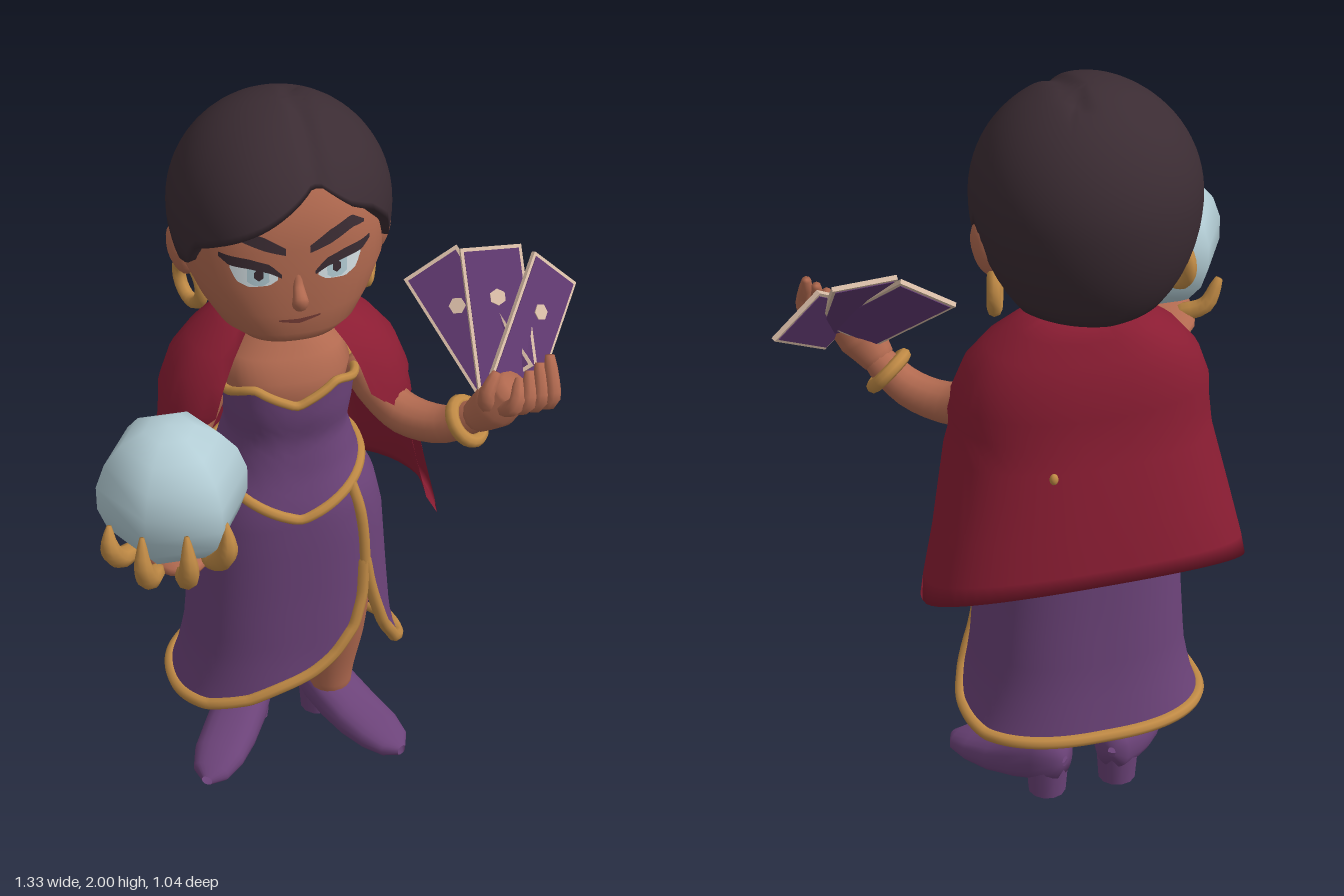
import * as THREE from 'three';
import { mergeVertices } from 'three/addons/utils/BufferGeometryUtils.js';

const mat = (name, color) => Object.assign(new THREE.MeshStandardMaterial({ color, side: THREE.DoubleSide }), { name });
const M = {
  skin: mat('skin', 0xb26a50), hair: mat('darkHair', 0x3b2c33), dress: mat('purpleDress', 0x6c4379),
  cape: mat('crimsonCape', 0x8b1d33), gold: mat('gold', 0xc08a45), glass: mat('paleGlass', 0xb4ced6),
  white: mat('eyeWhite', 0xdbe6ea), cream: mat('cream', 0xd8bca6), lip: mat('lip', 0x7a3f38), card: mat('cardPurple', 0x5f386f),
};
const CX = -0.09; // the figure's own centre line
const V = (x, y, z) => new THREE.Vector3(x, y, z);
const rad = THREE.MathUtils.degToRad;
const pow = (v, p) => Math.sign(v) * Math.abs(v) ** p;

// Linear interpolation in rows [key, ...values] sorted by key
function look(rows, k) {
  let i = 0;
  while (i < rows.length - 2 && k > rows[i + 1][0]) i++;
  const a = rows[i], b = rows[i + 1], t = THREE.MathUtils.clamp((k - a[0]) / (b[0] - a[0]), 0, 1);
  return a.slice(1).map((v, j) => v + (b[j + 1] - v) * t);
}

// Smooth grid surface from f(u, v) -> Vector3
function surface(nu, nv, f) {
  const pos = [], idx = [];
  for (let j = 0; j <= nv; j++) for (let i = 0; i <= nu; i++) pos.push(...f(i / nu, j / nv).toArray());
  for (let j = 0; j < nv; j++) for (let i = 0; i < nu; i++) {
    const a = j * (nu + 1) + i, c = a + nu + 1;
    idx.push(a, a + 1, c, a + 1, c + 1, c);
  }
  let g = new THREE.BufferGeometry();
  g.setAttribute('position', new THREE.Float32BufferAttribute(pos, 3));
  g.setIndex(idx);
  g = mergeVertices(g, 1e-5);
  g.computeVertexNormals();
  return g;
}

// Rounded-rectangle-like section point; rows are [y, rx, rz, cz], angle 0 faces front
function at(rows, y, th, grow = 0) {
  const [rx, rz, cz] = look(rows, y);
  return V(CX + (rx + grow) * pow(Math.sin(th), 0.84), y, cz + (rz + grow) * pow(Math.cos(th), 0.84));
}
const loft = (rows, nu = 40) => surface(nu, rows.length - 1,
  (u, v) => at(rows, rows[Math.round(v * (rows.length - 1))][0], u * Math.PI * 2));

// Tapered limb along points [x, y, z, radius] with rounded ends
function limb(pts, nu = 12, nv = 16) {
  const curve = new THREE.CatmullRomCurve3(pts.map(p => V(p[0], p[1], p[2])));
  const fr = curve.computeFrenetFrames(nv), n = pts.length - 1, radii = pts.map((p, i) => [i / n, p[3]]);
  return surface(nu, nv + 2, (u, w) => {
    const k = Math.round(w * (nv + 2)), j = THREE.MathUtils.clamp(k - 1, 0, nv), t = j / nv;
    let r = look(radii, t)[0], a = u * Math.PI * 2, push = 0;
    if (j === 0 || j === nv) { push = r * 0.25 * (j ? 1 : -1); r *= k === j + 1 ? 0.75 : 0; }
    return curve.getPoint(t).addScaledVector(fr.normals[j], Math.cos(a) * r)
      .addScaledVector(fr.binormals[j], Math.sin(a) * r).addScaledVector(fr.tangents[j], push);
  });
}
const tube = (pts, r, closed = false) => new THREE.TubeGeometry(new THREE.CatmullRomCurve3(pts, closed), pts.length * 2, r, 8, closed);

const torso = [[0.25, 0.325, 0.235, -0.215], [0.32, 0.3, 0.225, -0.215], [0.42, 0.28, 0.213, -0.215], [0.6, 0.267, 0.205, -0.215], [0.8, 0.254, 0.2, -0.215],
  [0.9, 0.232, 0.19, -0.21], [1.0, 0.18, 0.155, -0.205], [1.1, 0.152, 0.135, -0.2], [1.18, 0.165, 0.15, -0.2], [1.28, 0.178, 0.155, -0.205]];
const chest = [[1.1, 0.12, 0.1, -0.21], [1.2, 0.152, 0.135, -0.21], [1.27, 0.168, 0.135, -0.215], [1.32, 0.15, 0.108, -0.225],
  [1.36, 0.1, 0.085, -0.235], [1.39, 0.075, 0.07, -0.235], [1.52, 0.07, 0.07, -0.23]];
const head = [[1.412, 0.001, 0.001, -0.13], [1.416, 0.07, 0.06, -0.13], [1.43, 0.125, 0.105, -0.145], [1.46, 0.175, 0.16, -0.185], [1.52, 0.215, 0.19, -0.21],
  [1.6, 0.25, 0.205, -0.225], [1.7, 0.255, 0.21, -0.235], [1.8, 0.23, 0.2, -0.24], [1.9, 0.16, 0.14, -0.25], [1.95, 0.001, 0.001, -0.25]];
// Skirt hem height by angle: a slit peaks at 39 degrees
const hem = [[-321, 0.7], [-318, 0.63], [-312, 0.53], [-304, 0.44], [-288, 0.34], [-270, 0.285], [-240, 0.262], [-180, 0.265],
  [-90, 0.25], [-50, 0.265], [-25, 0.3], [-2, 0.355], [14, 0.42], [28, 0.5], [36, 0.6], [39, 0.7]];
// Hairline height by angle
const hairline = [[-180, 1.45], [-115, 1.47], [-100, 1.6], [-92, 1.69], [-80, 1.62], [-68, 1.64], [-60, 1.71], [-45, 1.75], [-20, 1.81], [8, 1.885],
  [14, 1.885], [30, 1.82], [45, 1.78], [60, 1.71], [68, 1.64], [80, 1.62], [92, 1.69], [100, 1.6], [115, 1.47], [180, 1.45]];
// Cape rows [y, rx, rz, cz, half opening angle, rise at the back]
const capeRows = [[0.66, 0.425, 0.215, -0.28, 97, 0.1], [0.72, 0.415, 0.215, -0.275, 97, 0.08], [0.85, 0.385, 0.215, -0.262, 98, 0.05], [1.05, 0.34, 0.225, -0.225, 102, 0.02],
  [1.14, 0.33, 0.21, -0.225, 126, 0], [1.2, 0.325, 0.2, -0.235, 143, 0], [1.28, 0.295, 0.185, -0.243, 145, 0],
  [1.34, 0.245, 0.16, -0.25, 145, 0], [1.39, 0.18, 0.13, -0.262, 144, 0], [1.44, 0.1, 0.09, -0.28, 140, 0]];

// Thin patch on the face; pts are [x, yLow, yHigh] from the centre line, s mirrors
function facePatch(pts, lift, s = 1) {
  const x0 = pts[0][0], x1 = pts[pts.length - 1][0];
  return surface(14, 4, (u, v) => {
    const x = THREE.MathUtils.lerp(x0, x1, s > 0 ? u : 1 - u), [lo, hi] = look(pts, x), y = lo + (hi - lo) * v;
    const [rx, rz, cz] = look(head, y), n = 2 / 0.84;
    return V(CX + s * x, y, cz + rz * (1 - Math.min(1, Math.abs(x) / rx) ** n) ** (1 / n) + lift);
  });
}

export function createModel() {
  const root = new THREE.Group();
  const add = (name, geo, m, parent = root) => {
    const mesh = new THREE.Mesh(geo, m);
    mesh.name = name;
    parent.add(mesh);
    return mesh;
  };
  const ball = (name, m, p, r) => {
    const b = add(name, new THREE.SphereGeometry(1, 16, 12), m);
    b.position.set(...p); b.scale.set(...r);
    return b;
  };

  // Dress
  add('skirt', surface(120, 14, (u, v) => {
    const d = 39 - 360 * u;
    return at(torso, THREE.MathUtils.lerp(0.99, look(hem, d)[0], v), rad(d));
  }), M.dress);
  const neckline = d => look([[0, 1.225], [32, 1.278], [60, 1.25], [90, 1.235], [180, 1.25]], Math.abs(d))[0];
  const belt = d => Math.cos(rad(d)) > 0 ? 0.885 + 0.1 * Math.abs(Math.sin(rad(d))) : 0.985;
  add('bodice', surface(48, 12, (u, v) => {
    const d = -180 + 360 * u;
    return at(torso, THREE.MathUtils.lerp(belt(d), neckline(d), v), rad(d), 0.005);
  }), M.dress);
  const ring = (n, f) => Array.from({ length: n }, (_, i) => f(-180 + 360 * i / n));
  add('necklineTrim', tube(ring(48, d => at(torso, neckline(d), rad(d), 0.005)), 0.012, true), M.gold);
  add('beltTrim', tube(ring(48, d => at(torso, belt(d), rad(d), 0.003)), 0.015, true), M.gold);
  add('hemTrim', tube(ring(90, d => at(torso, look(hem, d - 141)[0], rad(d - 141))), 0.017, true), M.gold);
  add('slitTrim', tube([0.95, 0.87, 0.78, 0.69].map(y => at(torso, y, rad(39), 0.002)), 0.016), M.gold);

  // Cape: outer and inner skin joined at every edge
  const nc = capeRows.length - 1;
  add('cape', surface(64, nc, (u, v) => {
    const j = Math.round(v * nc), [y, rx, rz, cz, a, rise] = capeRows[j];
    const inner = u > 0.5, t = inner && j > 0 && j < nc ? 0.022 : 0;
    const th = rad(a) * (inner ? 4 * u - 3 : 1 - 4 * u);
    return V(CX + 0.005 + (rx - t) * pow(Math.sin(th), 0.85), y + rise * Math.max(0, Math.cos(th)), cz - (rz - t) * pow(Math.cos(th), 0.85));
  }), M.cape);
  ball('capeStud', M.gold, [0.05, 1.06, -0.442], [0.011, 0.015, 0.01]);

  // Body and head
  add('chestAndNeck', loft(chest), M.skin);
  add('head', loft(head, 48), M.skin);
  add('nose', limb([[CX, 1.64, -0.035, 0.01], [CX, 1.605, -0.022, 0.013], [CX, 1.57, 0.003, 0.021], [CX, 1.553, -0.015, 0.018]]), M.skin);
  add('mouth', facePatch([[-0.05, 1.505, 1.51], [0, 1.495, 1.509], [0.055, 1.511, 1.516]], 0.004), M.lip);
  for (const s of [1, -1]) {
    const side = s > 0 ? 'left' : 'right';
    add(side + 'EyeWhite', facePatch([[0.05, 1.628, 1.637], [0.07, 1.614, 1.66], [0.12, 1.609, 1.676], [0.15, 1.625, 1.68], [0.163, 1.66, 1.68]], 0.004, s), M.white);
    add(side + 'Iris', facePatch([[0.072, 1.625, 1.655], [0.085, 1.615, 1.662], [0.11, 1.615, 1.67], [0.124, 1.625, 1.665]], 0.006, s), M.glass);
    add(side + 'Pupil', facePatch([[0.086, 1.637, 1.652], [0.097, 1.628, 1.662], [0.108, 1.637, 1.652]], 0.008, s), M.hair);
    add(side + 'Lashes', facePatch([[0.042, 1.634, 1.645], [0.07, 1.65, 1.674], [0.12, 1.663, 1.69], [0.165, 1.668, 1.695], [0.188, 1.688, 1.7]], 0.009, s), M.hair);
    add(side + 'Eyebrow', facePatch([[0.03, 1.695, 1.714], [0.08, 1.71, 1.745], [0.14, 1.735, 1.768], [0.175, 1.735, 1.742]], 0.008, s), M.hair);
    ball(side + 'Ear', M.skin, [CX + s * 0.247, 1.61, -0.245], [0.036, 0.075, 0.05]).rotation.z = -s * 0.2;
    const hoop = add(side + 'Earring', new THREE.TorusGeometry(0.056, 0.018, 8, 20), M.gold);
    hoop.position.set(CX + s * 0.228, 1.505, -0.25);
    hoop.rotation.y = Math.PI / 2 - s * 0.35;
  }

  // Hair: a dome cut off at the hairline, with a swept fringe, a parting groove and a turned-in lip
  add('hair', surface(96, 22, (u, v) => {
    const d = -180 + 360 * u, th = rad(d), y0 = look(hairline, d)[0], k = Math.round(v * 22);
    const phi0 = Math.acos((y0 - 1.72) / (y0 > 1.72 ? 0.28 : 0.36));
    const phi = phi0 * (1 - Math.max(0, k - 1) / 21), c = Math.cos(phi);
    const r = Math.sin(phi) * (k ? 1 : Math.abs(d) > 110 ? 0.3 : 0.82);
    const fringe = 0.05 * Math.max(0, Math.cos(th + 0.5)) ** 3 + 0.012 * Math.max(0, Math.cos(th - 0.6)) ** 3;
    const x = CX + 0.28 * r * Math.sin(th), z = 0.275 * r * Math.cos(th) + fringe * r;
    const groove = 1 - (z > -0.1 && c > 0 ? 0.04 * Math.exp(-(((x + 0.045) / 0.022) ** 2)) : 0);
    return V(x, 1.72 + (c > 0 ? 0.28 : 0.36) * c * groove, -0.245 + z * groove);
  }), M.hair);

  // Arms, bracelets
  add('rightArm', limb([[-0.27, 1.24, -0.21, 0.05], [-0.315, 1.17, -0.19, 0.055], [-0.37, 1.1, -0.13, 0.057], [-0.405, 1.08, 0.0, 0.052], [-0.43, 1.08, 0.12, 0.042]]), M.skin);
  add('leftArm', limb([[0.1, 1.24, -0.21, 0.05], [0.14, 1.17, -0.18, 0.056], [0.2, 1.115, -0.11, 0.056], [0.29, 1.125, -0.02, 0.05], [0.37, 1.2, 0.05, 0.04]]), M.skin);
  for (const [name, p, dir] of [['rightBracelet', V(-0.42, 1.08, 0.085), V(-0.15, 0, 1)], ['leftBracelet', V(0.335, 1.16, 0.025), V(0.6, 0.65, 0.45)]]) {
    const b = add(name, new THREE.TorusGeometry(0.055, 0.018, 8, 20), M.gold);
    b.position.copy(p);
    b.quaternion.setFromUnitVectors(V(0, 0, 1), dir.normalize());
  }

  // Crystal ball on the right palm, held by gilded fingers
  add('crystalBall', new THREE.SphereGeometry(0.186, 6, 9), M.glass).position.set(-0.47, 1.285, 0.295);
  const palm = ball('rightPalm', M.skin, [-0.465, 1.1, 0.26], [0.095, 0.038, 0.165]);
  palm.rotation.x = -0.12;
  for (const [x, y, z] of [[-0.64, 1.25, 0.38], [-0.575, 1.275, 0.475], [-0.47, 1.275, 0.495], [-0.365, 1.26, 0.445]])
    add('gildedFinger', limb([[-0.47 + (x + 0.47) * 0.55, 1.115, z - 0.09, 0.022], [-0.47 + (x + 0.47) * 0.85, 1.145, z - 0.025, 0.028],
      [x, 1.2, z, 0.024], [x * 0.98 - 0.009, y, z - 0.015, 0.008]], 8, 10), M.gold);
  add('gildedThumb', limb([[-0.5, 1.1, 0.2, 0.026], [-0.57, 1.13, 0.17, 0.024], [-0.605, 1.2, 0.17, 0.014]], 8, 8), M.gold);

  // Left hand
  add('leftPalm', limb([[0.35, 1.18, 0.04, 0.042], [0.39, 1.24, 0.08, 0.062], [0.43, 1.3, 0.1, 0.055]]), M.skin);
  for (let i = 0; i < 4; i++)
    add('leftFinger', limb([[0.39 + 0.03 * i, 1.25 + 0.005 * i, 0.11, 0.023], [0.42 + 0.03 * i, 1.295, 0.165, 0.023],
      [0.44 + 0.025 * i, 1.335 + 0.02 * i, 0.12, 0.016]], 8, 8), M.skin);
  add('leftThumb', limb([[0.38, 1.23, 0.09, 0.026], [0.355, 1.3, 0.12, 0.022], [0.385, 1.35, 0.1, 0.016]], 8, 8), M.skin);

  // Fan of cards, each leaning back and then turned about the front axis
  [-32, 3, 44].forEach((deg, i) => {
    const fan = new THREE.Group(), card = new THREE.Group();
    fan.name = 'cardTurn';
    fan.position.set(0.43, 1.275, 0.04 + 0.022 * i);
    fan.rotation.z = -rad(deg);
    card.name = 'card';
    card.rotation.x = -0.78;
    root.add(fan);
    fan.add(card);
    add('cardEdge', new THREE.BoxGeometry(0.16, 0.365, 0.012), M.cream, card).position.y = 0.18;
    add('cardFace', new THREE.BoxGeometry(0.144, 0.345, 0.016), M.card, card).position.y = 0.18;
    const e = add('cardEmblem', new THREE.CylinderGeometry(0.022, 0.022, 0.003, 6), M.cream, card);
    e.rotation.x = Math.PI / 2;
    e.position.set(0, 0.23, 0.009);
  });

  // Legs and shoes, toes turned out
  const shoe = [[-0.105, 0.1, 0.13, 0.01], [-0.095, 0.06, 0.175, 0.045], [-0.04, 0.04, 0.185, 0.068], [0.03, 0.018, 0.15, 0.076],
    [0.11, 0.002, 0.11, 0.077], [0.19, 0, 0.082, 0.072], [0.25, 0.001, 0.058, 0.052], [0.28, 0.008, 0.036, 0.015]];
  for (const s of [1, -1]) {
    const side = s > 0 ? 'left' : 'right', x = s > 0 ? 0.035 : -0.21;
    add(side + 'Leg', limb([[x + s * 0.005, 0.82, -0.2, 0.1], [x + s * 0.01, 0.55, -0.2, 0.1], [x + s * 0.01, 0.34, -0.225, 0.084], [x, 0.2, -0.235, 0.068], [x, 0.1, -0.235, 0.056]], 18), M.skin);
    const foot = new THREE.Group();
    foot.name = side + 'Shoe';
    foot.position.set(x, 0, -0.245);
    foot.rotation.y = s * 0.58;
    root.add(foot);
    add('shoeUpper', surface(20, shoe.length - 1, (u, v) => {
      const [z, lo, hi, w] = shoe[Math.round(v * (shoe.length - 1))], a = u * Math.PI * 2;
      return V(w * pow(Math.cos(a), 0.85), (lo + hi) / 2 + (hi - lo) / 2 * pow(Math.sin(a), 0.85), z);
    }), M.dress, foot);
    const heel = add('heel', new THREE.CylinderGeometry(0.058, 0.05, 0.11, 12), M.dress, foot);
    heel.position.set(0, 0.055, -0.045);
  }
  return root;
}
